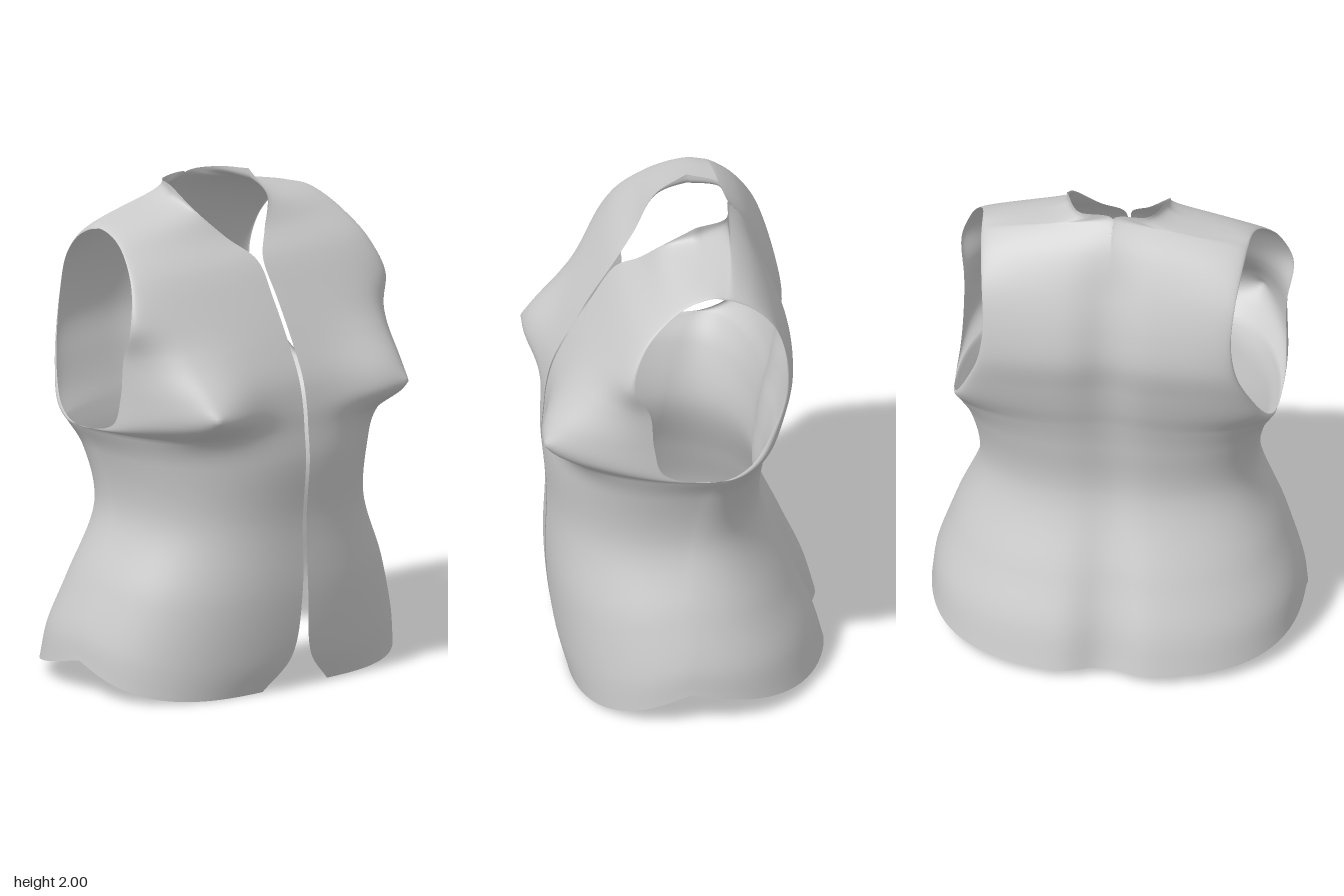
import * as THREE from 'three';
import { mergeGeometries, mergeVertices } from 'three/addons/utils/BufferGeometryUtils.js';

const curve = (pts, closed = false) =>
  new THREE.CatmullRomCurve3(pts.map(p => new THREE.Vector3(...p)), closed);
const lerp = THREE.MathUtils.lerp;

// Front opening from the hem up, then around the neckline to the shoulder
const frontCentre = curve([
  [0.17, 0.005, 0.45], [0.05, 0.14, 0.49], [0.015, 0.4, 0.515], [0.01, 0.7, 0.51],
  [0.01, 0.95, 0.53], [0.01, 1.08, 0.52], [0.01, 1.17, 0.51], [0.01, 1.28, 0.485],
  [0.01, 1.42, 0.42], [0.01, 1.58, 0.33], [0.015, 1.72, 0.24], [0.1, 1.81, 0.15],
  [0.19, 1.92, 0.06], [0.205, 2, -0.07]]);

// Middle of the back from the hem up, then around the neckline to the shoulder
const backCentre = curve([
  [0, 0.04, -0.595], [0, 0.2, -0.55], [0, 0.4, -0.465], [0, 0.72, -0.34],
  [0, 0.95, -0.355], [0, 1.08, -0.38], [0, 1.17, -0.405], [0, 1.28, -0.43],
  [0, 1.42, -0.455], [0, 1.56, -0.435], [0, 1.72, -0.38], [0, 1.88, -0.3],
  [0, 1.99, -0.22], [0.14, 1.995, -0.195], [0.205, 2, -0.07]]);

// Side seam from the hem to the bottom of the armhole
const sideSeam = curve([
  [0.75, 0.145, 0], [0.735, 0.25, 0], [0.665, 0.45, 0],
  [0.56, 0.72, -0.02], [0.595, 0.97, -0.07], [0.65, 1.08, -0.13]]);

// Armhole: shoulder tip, down the front, under the arm, up the back
const armhole = curve([
  [0.54, 1.87, -0.11], [0.55, 1.85, -0.02], [0.575, 1.8, 0.07], [0.625, 1.69, 0.175],
  [0.67, 1.54, 0.22], [0.65, 1.4, 0.155], [0.65, 1.25, 0.14], [0.655, 1.125, 0.1],
  [0.65, 1.08, -0.13], [0.625, 1.13, -0.25], [0.57, 1.26, -0.345], [0.52, 1.4, -0.4],
  [0.5, 1.55, -0.405], [0.51, 1.7, -0.36], [0.525, 1.8, -0.275], [0.535, 1.85, -0.19],
  [0.538, 1.862, -0.15]], true);

const UNDERARM = 5; // station where the side seam meets the armhole

// Bust fullness: steeper below and outside, with a soft point
function bust(x, y) {
  const dx = (x - 0.49) / (x > 0.49 ? 0.1 : 0.17);
  const dy = (y - 1.2) / (y > 1.2 ? 0.15 : 0.085);
  const r = Math.hypot(x - 0.5, y - 1.2);
  return 0.125 * Math.exp(-(dx * dx + dy * dy) / 2) + 0.045 * Math.exp(-r / 0.05);
}

// Spine groove, shallow at the waist and fading at the neck
function groove(x, y) {
  const depth = 0.02 + 0.04 * Math.exp(-((y / 0.35) ** 2)) + 0.02 * Math.exp(-(((y - 1.4) / 0.3) ** 2));
  return depth * Math.exp(-((x / 0.11) ** 2)) * THREE.MathUtils.smoothstep(2 - y, 0.02, 0.3);
}

// One quarter of the garment: each row is a superellipse arc from centre to edge
function panel(isFront, side) {
  const centre = isFront ? frontCentre : backCentre;
  const top = isFront ? 13 : 14, perStation = 8, cols = 56;
  const rows = top * perStation, pos = [], index = [];
  for (let j = 0; j <= rows; j++) {
    const v = j / perStation;
    const c = centre.getPoint(v / top);
    const e = v <= UNDERARM ? sideSeam.getPoint(v / UNDERARM)
      : armhole.getPoint((isFront ? 13 - v : 3 + v) / 17);
    const n = v < 8 ? 2.4 : lerp(2.4, 1, (v - 8) / (top - 8));
    const q = lerp(3, 0.5, v / top);
    for (let i = 0; i <= cols; i++) {
      const s = i / cols, a = s * Math.PI / 2;
      const x = Math.max(0, lerp(c.x, e.x, Math.sin(a) ** (2 / n)));
      const y = lerp(c.y, e.y, s ** q);
      let z = lerp(e.z, c.z, Math.max(0, Math.cos(a)) ** (2 / n));
      z += isFront ? bust(x, y) * (1 - s ** 6) : groove(x, y);
      pos.push(side * x, y, z);
      if (i < cols && j < rows) {
        const p = j * (cols + 1) + i, r = p + cols + 1;
        if (isFront === side > 0) index.push(p, p + 1, r + 1, p, r + 1, r);
        else index.push(p, r + 1, p + 1, p, r, r + 1);
      }
    }
  }
  const g = new THREE.BufferGeometry();
  g.setAttribute('position', new THREE.Float32BufferAttribute(pos, 3));
  g.setIndex(index);
  return g;
}

export function createModel() {
  const group = new THREE.Group();
  group.name = 'vest';
  // Join the four panels so the shading runs smoothly over the seams
  const panels = [1, -1].flatMap(side => [panel(true, side), panel(false, side)]);
  const geometry = mergeVertices(mergeGeometries(panels), 1e-4);
  geometry.computeVertexNormals();
  const mesh = new THREE.Mesh(geometry,
    new THREE.MeshStandardMaterial({ color: 0xcccccc, side: THREE.DoubleSide }));
  mesh.name = 'vestShell';
  group.add(mesh);
  return group;
}
